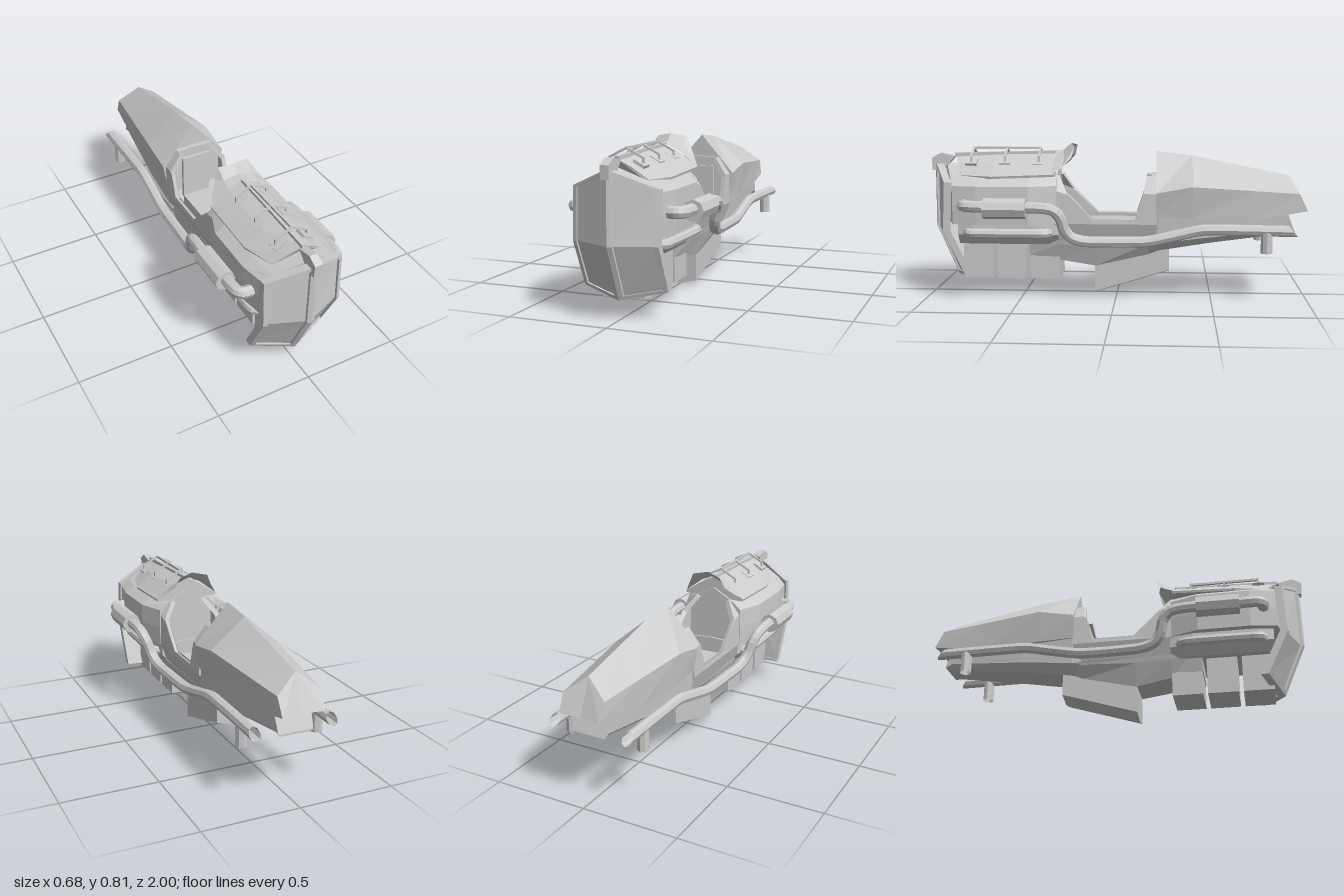
import * as THREE from 'three';

const mat = new THREE.MeshStandardMaterial({ color: 0xcccccc, flatShading: true, side: THREE.DoubleSide });

export function createModel() {
  const root = new THREE.Group();
  root.name = 'hoverBike';

  const add = (name, geo) => {
    const m = new THREE.Mesh(geo, mat);
    m.name = name;
    root.add(m);
    return m;
  };
  const box = (name, w, h, d, x, y, z) => {
    const m = add(name, new THREE.BoxGeometry(w, h, d));
    m.position.set(x, y, z);
    return m;
  };

  // Skins a row of cross-sections, closed ones also get end caps
  const skin = (name, rings, open = false) => {
    const pos = [], n = rings[0].length;
    const tri = (a, b, c) => pos.push(...a, ...b, ...c);
    for (let i = 0; i < rings.length - 1; i++) {
      for (let j = 0; j < (open ? n - 1 : n); j++) {
        const k = (j + 1) % n, a = rings[i], b = rings[i + 1];
        tri(a[j], a[k], b[j]);
        tri(a[k], b[k], b[j]);
      }
    }
    if (!open) {
      const f = rings[0], b = rings[rings.length - 1];
      for (let j = 1; j < n - 1; j++) {
        tri(f[0], f[j + 1], f[j]);
        tri(b[0], b[j], b[j + 1]);
      }
    }
    const g = new THREE.BufferGeometry();
    g.setAttribute('position', new THREE.Float32BufferAttribute(pos, 3));
    g.computeVertexNormals();
    return add(name, g);
  };

  // Mirrors half sections, listed top to bottom and front to back
  const loft = (name, halves, open = false) => skin(name, halves.map(h => {
    const mirror = h.filter(p => p[0] > 0).map(([x, y, z]) => [-x, y, z]).reverse();
    return open ? [...mirror, ...h] : [...h, ...mirror];
  }), open);

  // Square bar between two points
  const beam = (name, a, b, w, d = w) => {
    const A = new THREE.Vector3(...a), B = new THREE.Vector3(...b);
    const m = add(name, new THREE.BoxGeometry(w, d, A.distanceTo(B) + w * 0.4));
    m.position.copy(A).add(B).multiplyScalar(0.5);
    m.lookAt(B);
  };

  const tube = (name, pts, r, s, segs) => {
    const c = new THREE.CatmullRomCurve3(pts.map(p => new THREE.Vector3(p[0] * s, p[1], p[2])), false, 'centripetal');
    return add(name, new THREE.TubeGeometry(c, segs, r, 8));
  };

  // Front shield: bent V panel, with rows [y centre, z centre, y side, z side]
  const rows = [[0.71, 0.982, 0.62, 0.888], [0.365, 0.985, 0.365, 0.9], [0.095, 0.868, 0.135, 0.79]];
  const at = (v, t, dz = 0) => {
    const i = Math.min(Math.floor(v), 1);
    const r = rows[i].map((c, k) => THREE.MathUtils.lerp(c, rows[i + 1][k], v - i));
    return [0.212 * t, r[0] + (r[2] - r[0]) * t, r[1] + (r[3] - r[1]) * t + dz];
  };
  for (const dz of [-0.014, -0.035]) loft('shieldPanel', [0, 1, 2].map(v => [at(v, 0, dz), at(v, 1, dz)]), true);
  for (const s of [-1, 1]) {
    const strip = (name, v0, v1, t0, t1) => skin(name, [0, -0.04].map(dz =>
      [at(v0, t0, dz), at(v0, t1, dz), at(v1, t1, dz), at(v1, t0, dz)].map(([x, y, z]) => [x * s, y, z])));
    strip('shieldTopFrame', 0, 0.06, 0, 1);
    strip('shieldBottomFrame', 1.93, 2, 0, 1);
    for (const v of [0, 1]) {
      strip('shieldSideFrame', v, v + 1, 0.9, 1);
      strip('shieldRib', v, v + 1, 0, 0.1);
    }
  }
  skin('noseBlock', [0.021, -0.021].map(x =>
    [[x, 0.73, 0.998], [x, 0.758, 0.95], [x, 0.74, 0.87], [x, 0.665, 0.94], [x, 0.665, 0.995]]));

  // Engine housing, upper and lower
  const engine = (z, v, w, k) => [[0, 0.655 + 0.05 * k, z + v], [0.75 * w, 0.635, z + v * 0.25], [w * 0.98, 0.6, z],
    [w, 0.5, z], [w * 0.98, 0.4, z], [0, 0.4, z + v]];
  loft('engineHousing', [engine(0.85, 0.07, 0.205, 0.9), engine(0.72, 0, 0.228, 1), engine(0.45, 0, 0.225, 1), engine(0.31, 0, 0.17, 1)]);
  const lower = (z, w) => [[0, 0.41, z], [w, 0.4, z], [w, 0.34, z], [w - 0.04, 0.288, z], [0, 0.288, z]];
  loft('lowerEngine', [lower(0.83, 0.17), lower(0.75, 0.185), lower(0.42, 0.185), lower(0.3, 0.16)]);
  for (const z of [0.738, 0.558, 0.378]) box('engineBlock', 0.214, 0.2, 0.156, 0, 0.195, z);

  // Hood and flared windscreen
  const hood = (z, v, top, sx, ex, ey) => [[0, top, z + v], [sx, top - 0.038, z + v * 0.6], [ex, ey + 0.012, z], [ex - 0.003, ey, z], [0, ey, z]];
  loft('hood', [hood(0.815, 0.055, 0.745, 0.06, 0.13, 0.638), hood(0.65, 0, 0.755, 0.08, 0.177, 0.635), hood(0.32, 0, 0.762, 0.08, 0.177, 0.648)]);
  beam('hoodSpine', [0, 0.748, 0.87], [0, 0.762, 0.33], 0.022, 0.02);
  loft('windscreen', [
    [[0, 0.772, 0.33], [0.08, 0.735, 0.33], [0.178, 0.66, 0.33]],
    [[0, 0.778, 0.285], [0.078, 0.752, 0.275], [0.145, 0.695, 0.28]],
    [[0, 0.813, 0.245], [0.08, 0.798, 0.22], [0.107, 0.74, 0.235]]], true);

  // Hood rail with arms and sloping pads
  beam('hoodRail', [0, 0.785, 0.77], [0, 0.785, 0.41], 0.012);
  for (const z of [0.77, 0.59, 0.41]) for (const s of [-1, 1]) {
    beam('railArm', [0, 0.785, z], [0.084 * s, 0.742, z], 0.01);
    beam('railPost', [0.084 * s, 0.742, z], [0.084 * s, 0.695, z], 0.01);
    box('railPad', 0.06, 0.014, 0.06, 0.073 * s, 0.717, z).rotation.z = -0.5 * s;
  }

  // Cockpit tub: hexagonal shell with the sides cut down for access
  const tub = (z, y2, y3, x3, t) => [[0, 0.29 + t, z], [0.13 - t, 0.29 + t, z], [0.165 - t, 0.4, z],
    [0.163 - t, y2, z], [x3 - t, y3 - t * 0.6, z]];
  const stations = [[0.33, 0.57, 0.655, 0.1], [0.3, 0.57, 0.65, 0.1], [0.25, 0.555, 0.565, 0.16], [0.11, 0.42, 0.425, 0.163],
    [-0.1, 0.42, 0.425, 0.163], [-0.145, 0.55, 0.56, 0.163], [-0.16, 0.56, 0.65, 0.1], [-0.21, 0.56, 0.65, 0.1]];
  const outer = stations.map(s => tub(...s, 0)), inner = stations.map(s => tub(...s, 0.022));
  loft('cockpitOuter', outer, true);
  loft('cockpitInner', inner, true);
  for (const s of [-1, 1]) {
    skin('cockpitRim', outer.map((o, i) => [o[4], inner[i][4]].map(([x, y, z]) => [x * s, y, z])), true);
  }
  const gable = z => [[0, 0.655, z], [0.1, 0.65, z], [0.162, 0.56, z], [0.162, 0.4, z], [0, 0.4, z]];
  loft('cockpitBulkhead', [gable(-0.185), gable(-0.215)]);
  loft('dashBulkhead', [gable(0.345), gable(0.32)]);
  box('seat', 0.16, 0.06, 0.38, 0, 0.335, 0.02);
  box('seatBack', 0.16, 0.25, 0.02, 0, 0.48, -0.178);

  // Tail cowl with a gabled ridge
  loft('tailCowl', [
    [[0, 0.772, -0.21], [0.18, 0.565, -0.21], [0.16, 0.44, -0.21], [0, 0.44, -0.21]],
    [[0, 0.75, -0.4], [0.18, 0.6, -0.4], [0.16, 0.432, -0.4], [0, 0.432, -0.4]],
    [[0, 0.69, -0.69], [0.141, 0.577, -0.716], [0.133, 0.42, -0.71], [0, 0.42, -0.71]],
    [[0, 0.645, -0.91], [0.112, 0.56, -0.955], [0.108, 0.47, -1], [0, 0.47, -0.985]]]);

  // Belly hull and keel
  const hull = (z, top, w, bot, b, f = 0.25) => [[0, top, z], [w, top, z], [b + (w - b) * 0.85, bot + (top - bot) * f, z], [b, bot, z], [0, bot, z]];
  loft('bellyHull', [hull(0.46, 0.4, 0.15, 0.225, 0.11, 0.8), hull(0.3, 0.31, 0.14, 0.197, 0.1, 0.8), hull(0.11, 0.31, 0.137, 0.165, 0.09, 0.8),
    hull(-0.17, 0.31, 0.137, 0.23, 0.09, 0.8), hull(-0.22, 0.45, 0.155, 0.25, 0.09), hull(-0.5, 0.44, 0.14, 0.295, 0.085),
    hull(-0.9, 0.45, 0.095, 0.345, 0.06), hull(-0.935, 0.36, 0.09, 0.35, 0.06)]);
  const keel = (z, top, bot) => [[0, top, z], [0.09, top, z], [0.09, bot + 0.022, z], [0, bot, z]];
  loft('keel', [keel(0.115, 0.3, 0.003), keel(-0.28, 0.27, 0.125)]);

  // Exhausts on both sides
  for (const s of [-1, 1]) {
    tube('exhaustElbow', [[0.2, 0.505, 0.785], [0.25, 0.505, 0.785], [0.272, 0.505, 0.768], [0.28, 0.505, 0.73], [0.28, 0.5, 0.62]], 0.03, s, 16);
    const can = add('muffler', new THREE.CylinderGeometry(0.053, 0.053, 0.22, 8).rotateX(Math.PI / 2));
    can.position.set(0.285 * s, 0.496, 0.56);
    const pipe = tube('exhaustPipe', [[0.285, 0.5, 0.5], [0.282, 0.5, 0.38], [0.278, 0.488, 0.315], [0.265, 0.45, 0.28], [0.245, 0.38, 0.258], [0.232, 0.34, 0.225],
      [0.225, 0.32, 0.16], [0.22, 0.317, 0.08], [0.215, 0.317, -0.1], [0.213, 0.321, -0.17], [0.204, 0.352, -0.32], [0.2, 0.38, -0.45], [0.2, 0.382, -0.55], [0.2, 0.378, -0.91]], 0.029, s, 60);
    // Slant cut on the tailpipe end
    const p = pipe.geometry.attributes.position;
    for (let i = 0; i < p.count; i++) if (p.getZ(i) < -0.9) p.setZ(i, -0.915 + (p.getY(i) - 0.378) * 0.8);
    const b = add('exhaustBranch', new THREE.CylinderGeometry(0.03, 0.03, 0.11, 8, 1, true));
    b.position.set(0.2 * s, 0.318, -0.78);
    tube('sidePipe', [[0.15, 0.352, 0.78], [0.18, 0.352, 0.778], [0.193, 0.352, 0.75], [0.195, 0.352, 0.7], [0.195, 0.352, 0.4], [0.188, 0.352, 0.365], [0.15, 0.352, 0.35]], 0.025, s, 24);
  }

  return root;
}
